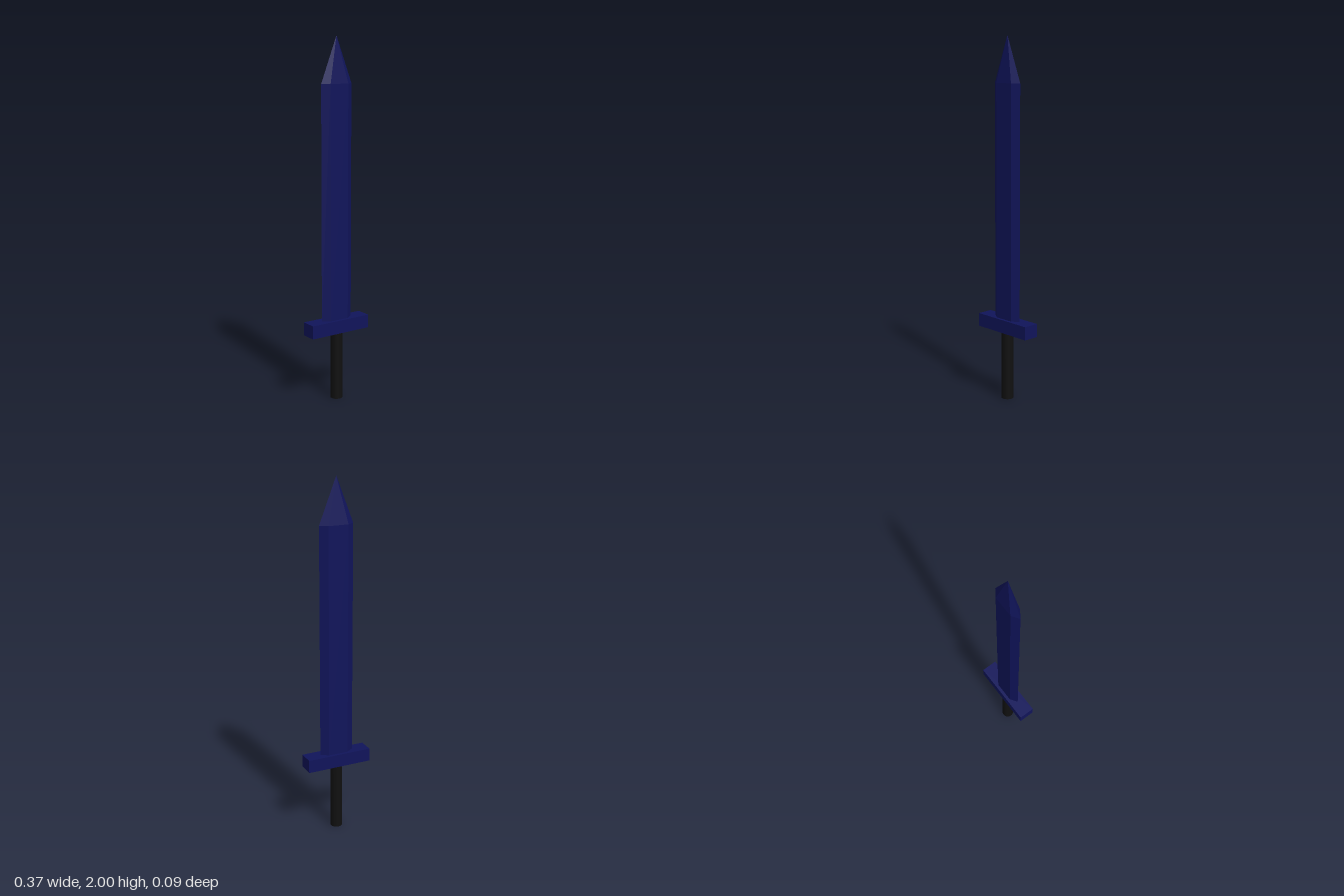
import * as THREE from 'three';

const blue = new THREE.MeshStandardMaterial({ color: 0x10145a, flatShading: true });
const black = new THREE.MeshStandardMaterial({ color: 0x101010 });

// Hexagonal blade with bevelled edges, tapering to a point
function bladeGeometry(base, shoulder, tip) {
  const ring = [[0.098, 0], [0.057, -0.028], [-0.057, -0.028], [-0.098, 0], [-0.057, 0.028], [0.057, 0.028]];
  const pos = [];
  ring.forEach(([ax, az], i) => {
    const [bx, bz] = ring[(i + 1) % ring.length];
    pos.push(ax, base, az, bx, base, bz, bx, shoulder, bz);
    pos.push(ax, base, az, bx, shoulder, bz, ax, shoulder, az);
    pos.push(ax, shoulder, az, bx, shoulder, bz, 0, tip, 0);
    pos.push(bx, base, bz, ax, base, az, 0, base, 0);
  });
  const g = new THREE.BufferGeometry();
  g.setAttribute('position', new THREE.Float32BufferAttribute(pos, 3));
  g.computeVertexNormals();
  return g;
}

export function createModel() {
  const model = new THREE.Group();
  model.name = 'sword';
  const add = (name, geometry, material, y = 0) => {
    const mesh = new THREE.Mesh(geometry, material);
    mesh.name = name;
    mesh.position.y = y;
    model.add(mesh);
  };

  add('blade', bladeGeometry(0.458, 1.75, 2), blue);
  add('crossguard', new THREE.BoxGeometry(0.374, 0.074, 0.09), blue, 0.423);

  // Round grip: black side, blue end caps
  add('grip', new THREE.CylinderGeometry(0.034, 0.034, 0.388, 32), [black, blue, blue], 0.194);

  return model;
}
